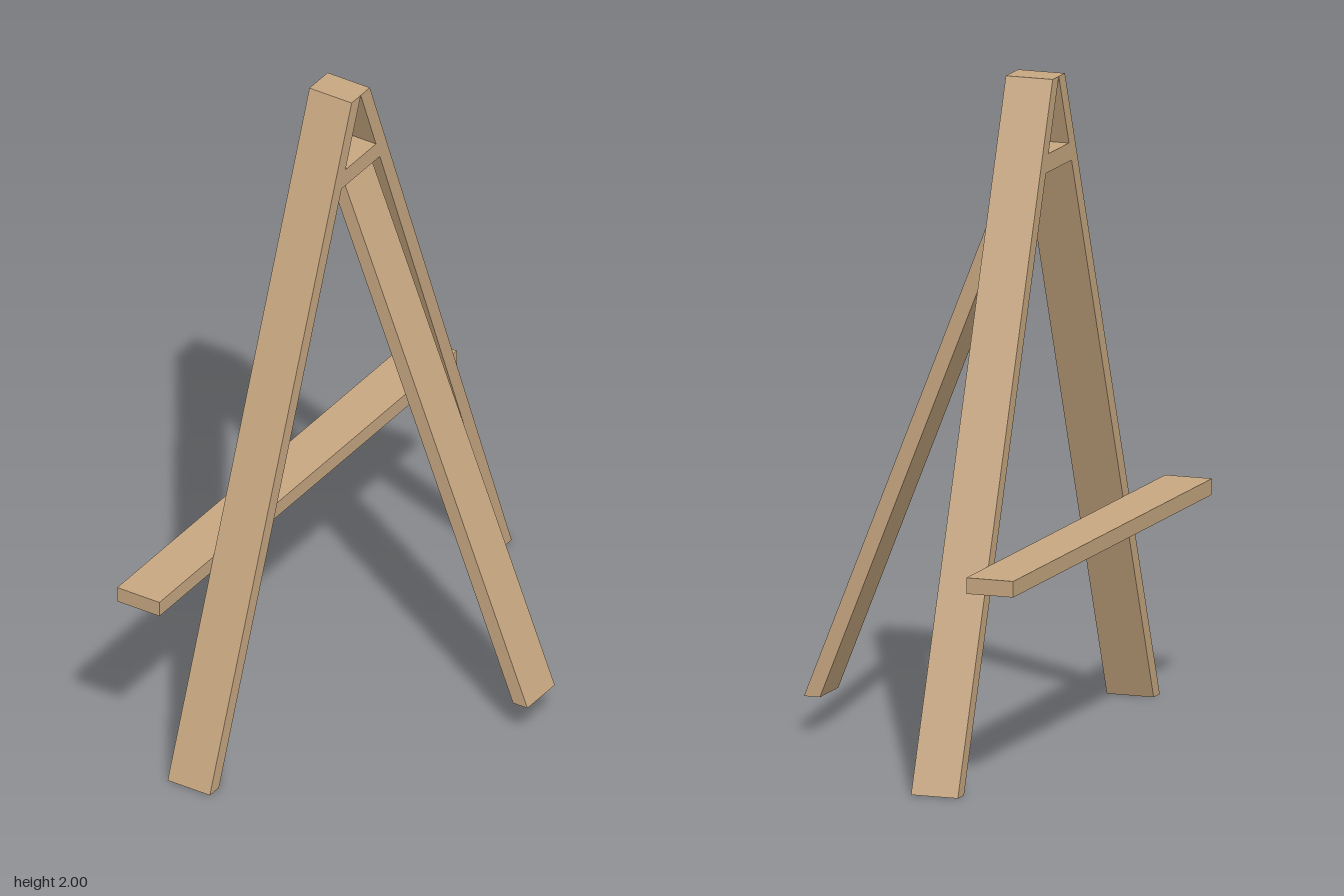
import * as THREE from 'three';

const wood = new THREE.MeshStandardMaterial({ color: 0xc8a882 });
wood.name = 'wood';

// Extrudes a 2D outline into a plank of the given thickness
function plank(points, depth) {
  const shape = new THREE.Shape(points.map(([a, b]) => new THREE.Vector2(a, b)));
  return new THREE.ExtrudeGeometry(shape, { depth, bevelEnabled: false });
}

function part(name, geometry) {
  const mesh = new THREE.Mesh(geometry, wood);
  mesh.name = name;
  return mesh;
}

export function createModel() {
  const group = new THREE.Group();
  group.name = 'easel';

  const xMin = -0.31, xMax = -0.163; // width of the A-frame
  const zMid = -0.023;               // its centre line

  // Outline in (z, y), extruded across the A-frame's width
  const framePlank = (name, points) => {
    const g = plank(points, xMax - xMin);
    g.rotateY(-Math.PI / 2);
    g.translate(xMax, 0, zMid);
    group.add(part(name, g));
  };

  // Two leaning legs meeting at the top
  for (const [name, s] of [['frontLeg', 1], ['backLeg', -1]]) {
    framePlank(name, [[0.763, 0], [0.812, 0], [0.049, 2], [0, 2]].map(([z, y]) => [s * z, y]));
  }

  // Short bar between the legs, its ends cut to their slope
  const inner = (y) => 0.763 * (1 - y / 2);
  const y0 = 1.73, y1 = 1.785;
  framePlank('crossbar', [[-inner(y0), y0], [inner(y0), y0], [inner(y1), y1], [-inner(y1), y1]]);

  // Rear prop leaning out from under the crossbar
  const prop = plank([[0.405, 0.11], [0.455, 0.11], [-0.187, y0], [-0.237, y0]], 0.147);
  prop.translate(0, 0, -0.112);
  group.add(part('propLeg', prop));

  // Shelf across the face of the legs
  const shelf = new THREE.BoxGeometry(0.147, 0.048, 1.6);
  shelf.translate(-0.3835, 0.622, 0.033);
  group.add(part('shelf', shelf));

  return group;
}
